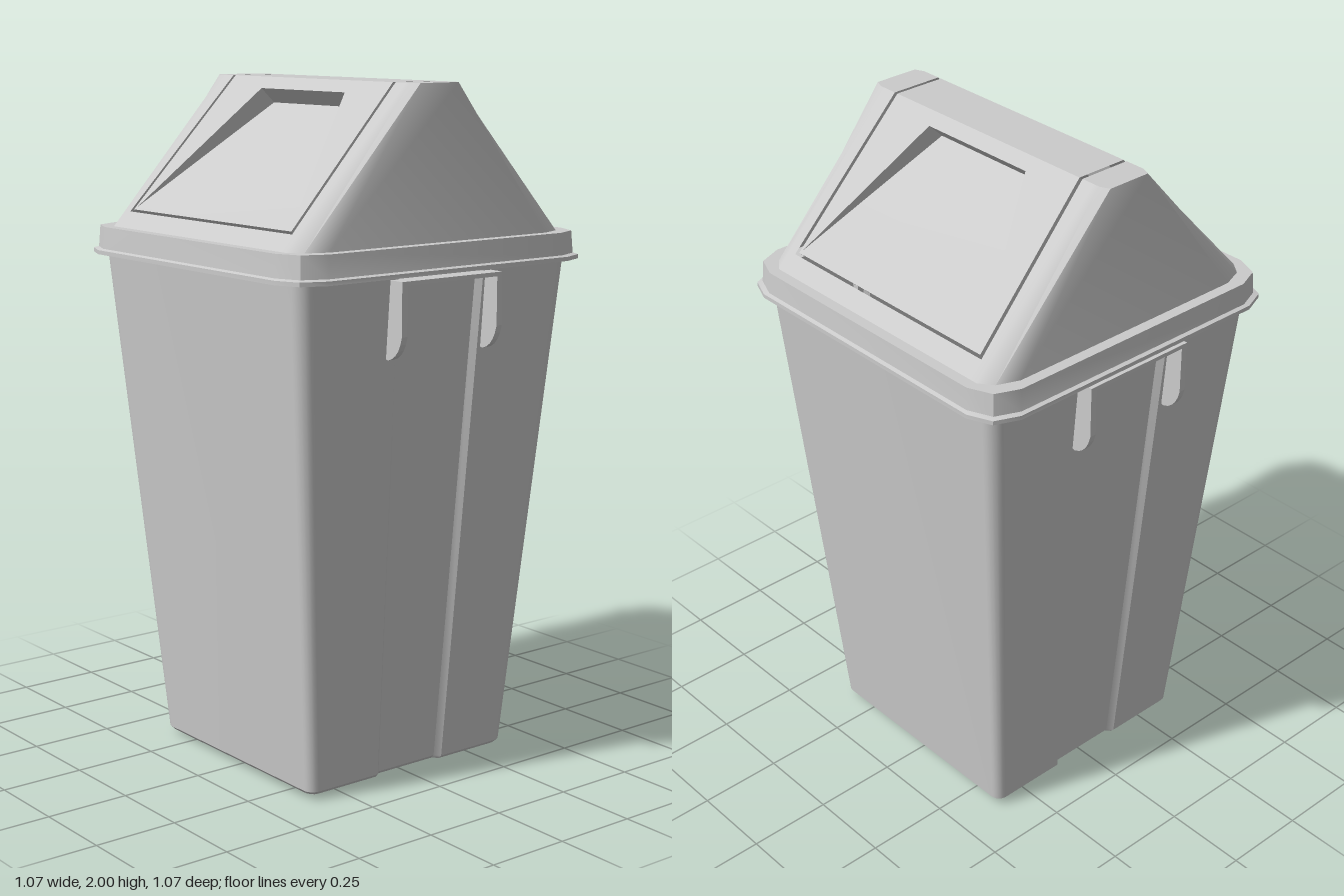
import * as THREE from 'three';
import { toCreasedNormals } from 'three/addons/utils/BufferGeometryUtils.js';

const material = new THREE.MeshStandardMaterial({ color: 0xcccccc, side: THREE.DoubleSide });

function mesh(name, geometry) {
  const m = new THREE.Mesh(geometry, material);
  m.name = name;
  return m;
}

// Mesh from convex polygons, each a counter-clockwise list of [x, y, z]
function polyMesh(name, polys) {
  const pos = [];
  for (const p of polys)
    for (let i = 1; i < p.length - 1; i++) pos.push(...p[0], ...p[i], ...p[i + 1]);
  const g = new THREE.BufferGeometry();
  g.setAttribute('position', new THREE.Float32BufferAttribute(pos, 3));
  return mesh(name, toCreasedNormals(g, 0.6));
}

// Quads between stacked closed rings that run from +x towards +z
function loft(rings) {
  const polys = [];
  for (let k = 0; k + 1 < rings.length; k++) {
    const a = rings[k], b = rings[k + 1], n = a.length;
    for (let i = 0; i < n; i++) {
      const j = (i + 1) % n;
      polys.push([a[i], b[i], b[j], a[j]]);
    }
  }
  return polys;
}

// Rounded square of half-width h; notch = { w, d, s } sinks a channel into both x sides
function ring(y, h, r, steps, notch) {
  const half = [];
  if (notch) half.push([h - notch.d, notch.w], [h, notch.w + notch.s]);
  for (let q = 0; q < 2; q++)
    for (let i = 0; i <= steps; i++) {
      const a = (q + i / steps) * Math.PI / 2;
      half.push([(q ? -1 : 1) * (h - r) + r * Math.cos(a), h - r + r * Math.sin(a)]);
    }
  if (notch) half.push([-h, notch.w + notch.s], [-h + notch.d, notch.w]);
  return [...half, ...half.map(([x, z]) => [-x, -z])].map(([x, z]) => [x, y, z]);
}

// Point on the sloped front of the hood: t runs up the slope, d is depth below it
const slope = (x, t, d = 0) => [x, 1.57 + 0.43 * t - 0.686 * d, 0.485 - 0.405 * t - 0.728 * d];

function addBothWays(group, part) {
  const back = part.clone();
  back.rotation.y = Math.PI;
  group.add(part, back);
}

function createBody() {
  const levels = [[0.015, 0.357], [0.025, 0.366], [1.53, 0.488]];
  const rings = levels.map(([y, h]) => {
    const k = y / 1.53;
    return ring(y, h, 0.03 + 0.015 * k, 5, { w: 0.105 + 0.035 * k, d: 0.016, s: 0.016 });
  });
  const base = rings[0];
  const floor = base.map((p, i) => [[0, 0.015, 0], p, base[(i + 1) % base.length]]);
  return polyMesh('body', [...loft(rings), ...floor]);
}

// Overhanging lid skirt with a small lip at its lower edge
function createRim() {
  const profile = [[1.54, 0.48], [1.54, 0.508], [1.49, 0.515], [1.49, 0.533],
    [1.502, 0.533], [1.506, 0.522], [1.57, 0.518], [1.57, 0.465]];
  return polyMesh('lidRim', loft(profile.map(([y, h]) => ring(y, h, 0.1, 2))));
}

// One end of the hood, wrapped from the front slope round to the back slope
function createHoodEnd() {
  const wrap = (pts, y) => [...pts, ...pts.slice().reverse().map(([x, z]) => [x, -z])]
    .map(([x, z]) => [x, y, z]);
  const low = wrap([[0.395, 0.485], [0.42, 0.485], [0.46, 0.455], [0.485, 0.39]], 1.57);
  const top = wrap([[0.378, 0.08], [0.42, 0.08], [0.44, 0.08], [0.468, 0.068]], 2);
  const polys = [top];
  for (let i = 0; i + 1 < low.length; i++)
    polys.push([low[i], low[i + 1], top[i + 1], top[i]]);
  return polyMesh('hoodEnd', polys);
}

function createHoodSill() {
  return polyMesh('hoodSill', [
    [slope(-0.395, 0), slope(0.395, 0), slope(0.3933, 0.1), slope(-0.3933, 0.1)]]);
}

// Flap panel with a pocket that deepens towards its upper edge
function createFlapPanel() {
  const outline = [[-0.382, 0.115], [0.382, 0.115], [0.367, 1], [-0.367, 1]];
  const A = outline.map(([x, t]) => slope(x, t));
  const D = outline.map(([x, t]) => slope(x, t, 0.02));
  const B = [[-0.375, 0.13], [0.375, 0.13], [0.195, 0.925], [-0.195, 0.925]].map(([x, t]) => slope(x, t));
  const C2 = slope(0.195, 0.925, 0.062), C3 = slope(-0.195, 0.925, 0.062);
  const polys = [
    [B[0], B[1], C2, C3], [C3, C2, B[2], B[3]], [B[1], B[2], C2], [B[0], C3, B[3]]];
  for (let i = 0; i < 4; i++) {
    const j = (i + 1) % 4;
    polys.push([A[i], A[j], B[j], B[i]]);
    if (i !== 2) polys.push([A[j], A[i], D[i], D[j]]); // thin edge
  }
  return polyMesh('flapPanel', polys);
}

// Side grip: two rounded ears joined by a thin bar
function createHandle() {
  const g = new THREE.Group();
  g.name = 'handle';
  const s = new THREE.Shape();
  s.moveTo(0.455, 1.48);
  s.lineTo(0.455, 1.265);
  s.lineTo(0.475, 1.26);
  s.quadraticCurveTo(0.52, 1.27, 0.533, 1.33);
  s.lineTo(0.533, 1.48);
  const geo = new THREE.ExtrudeGeometry(s, { depth: 0.02, bevelEnabled: false, curveSegments: 5 });
  for (const z of [0.162, -0.182]) {
    const ear = mesh('handleEar', geo);
    ear.position.z = z;
    g.add(ear);
  }
  const bar = mesh('handleBar', new THREE.BoxGeometry(0.078, 0.012, 0.364));
  bar.position.set(0.494, 1.474, 0);
  g.add(bar);
  return g;
}

export function createModel() {
  const model = new THREE.Group();
  model.name = 'swingTopBin';
  model.add(createBody(), createRim());

  // Hood and swing flap
  addBothWays(model, createHoodEnd());
  addBothWays(model, createHoodSill());
  const flap = new THREE.Group();
  flap.name = 'swingFlap';
  addBothWays(flap, createFlapPanel());
  flap.add(polyMesh('flapTop', [
    [[-0.367, 2, 0.08], [0.367, 2, 0.08], [0.367, 2, -0.08], [-0.367, 2, -0.08]]]));
  model.add(flap);

  addBothWays(model, createHandle());

  // L-shaped corner feet
  for (const sx of [1, -1])
    for (const sz of [1, -1]) {
      const a = mesh('foot', new THREE.BoxGeometry(0.085, 0.018, 0.015));
      a.position.set(sx * 0.2825, 0.009, sz * 0.3175);
      const b = mesh('foot', new THREE.BoxGeometry(0.015, 0.018, 0.07));
      b.position.set(sx * 0.3175, 0.009, sz * 0.275);
      model.add(a, b);
    }
  return model;
}
